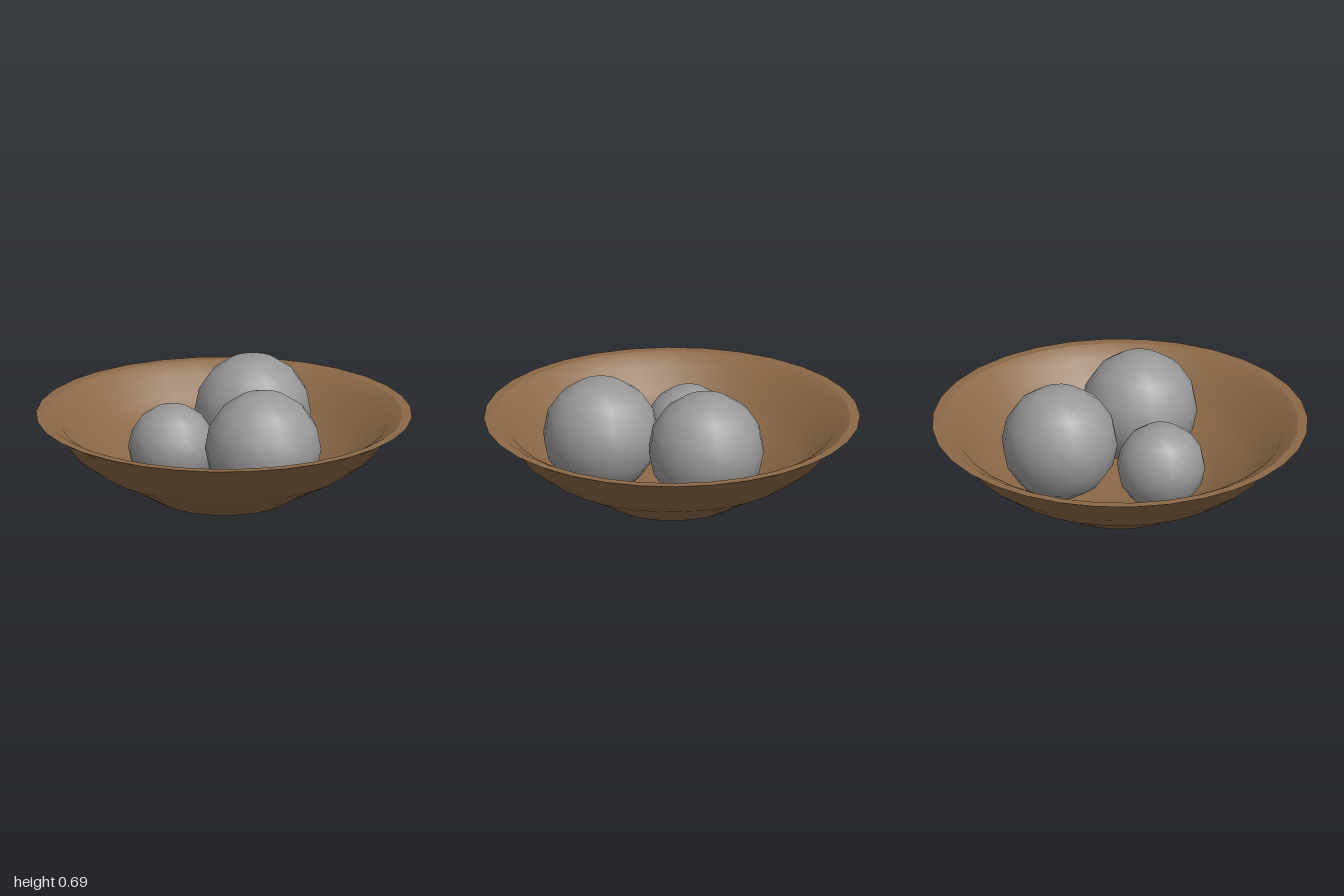
import * as THREE from 'three';

const SIDES = 32;

export function createModel() {
  const group = new THREE.Group();
  const wood = new THREE.MeshStandardMaterial({ color: 0x8a6846 });
  wood.name = 'brown wood';
  const grey = new THREE.MeshStandardMaterial({ color: 0x999999 });
  grey.name = 'grey';

  // One turned surface per smooth region, so the rim and foot stay crisp
  const turned = (name, profile) => {
    const points = profile.map(([r, y]) => new THREE.Vector2(r, y));
    const mesh = new THREE.Mesh(new THREE.LatheGeometry(points, SIDES), wood);
    mesh.name = name;
    bowl.add(mesh);
  };

  // Bowl, profile running from the foot up, over the rim and back inside
  const bowl = new THREE.Group();
  bowl.name = 'bowl';
  turned('foot', [[0, 0], [0.365, 0]]);
  turned('outerWall', [[0.365, 0], [0.535, 0.1], [0.69, 0.18], [0.81, 0.27], [0.9, 0.39], [1, 0.448]]);
  turned('rim', [[1, 0.448], [0.95, 0.448]]);
  turned('innerWall', [[0.95, 0.448], [0.865, 0.4], [0.775, 0.295], [0.665, 0.21], [0.515, 0.125], [0.34, 0.03], [0, 0.03]]);
  group.add(bowl);

  // Balls resting in the bowl: name, radius, centre
  const balls = [
    ['backBall', 0.31, 0.01, 0.375, -0.33],
    ['leftBall', 0.31, 0.325, 0.363, 0.195],
    ['rightBall', 0.235, -0.225, 0.282, 0.165],
  ];
  for (const [name, radius, x, y, z] of balls) {
    const ball = new THREE.Mesh(new THREE.SphereGeometry(radius, 16, 8), grey);
    ball.name = name;
    ball.position.set(x, y, z);
    group.add(ball);
  }

  return group;
}
